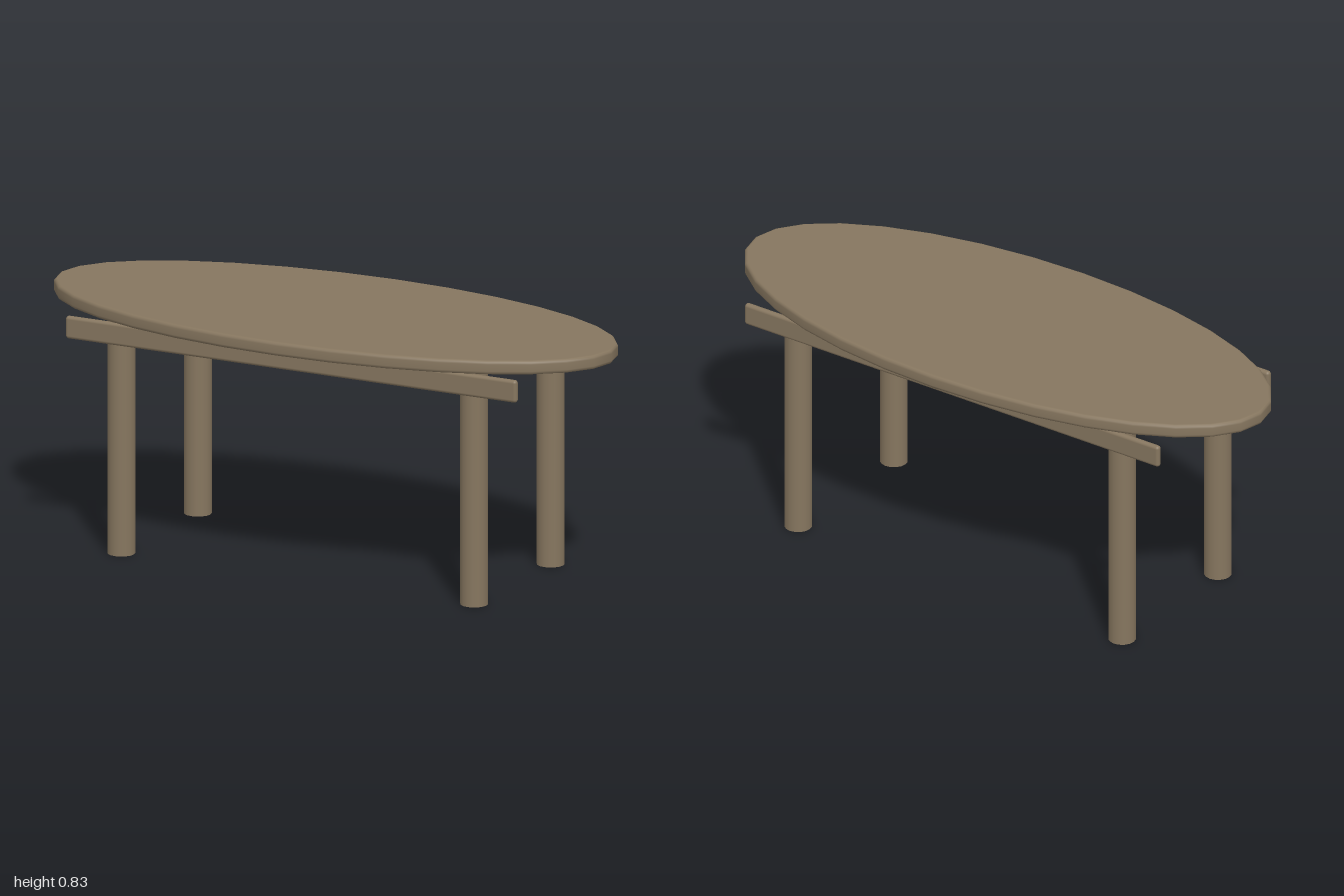
import * as THREE from 'three';
import { mergeVertices } from 'three/addons/utils/BufferGeometryUtils.js';
import { RoundedBoxGeometry } from 'three/addons/geometries/RoundedBoxGeometry.js';

// Oval slab with an even rounded rim, made from a lathe squeezed in z
function ovalTop(halfX, halfZ, y0, y1, bevel) {
  const pts = [new THREE.Vector2(0, y0)];
  const arc = (cy, from) => {
    for (let i = 0; i <= 3; i++) {
      const a = from + (i / 3) * Math.PI / 2;
      pts.push(new THREE.Vector2(halfX - bevel + bevel * Math.cos(a), cy + bevel * Math.sin(a)));
    }
  };
  arc(y0 + bevel, -Math.PI / 2);
  arc(y1 - bevel, 0);
  pts.push(new THREE.Vector2(0, y1));

  const lathe = new THREE.LatheGeometry(pts, 32);
  const pos = lathe.attributes.position;
  for (let i = 0; i < pos.count; i++) {
    const r = Math.hypot(pos.getX(i), pos.getZ(i));
    if (r > 0.5) pos.setZ(i, pos.getZ(i) * (r - halfX + halfZ) / r);
  }
  lathe.deleteAttribute('uv');
  lathe.deleteAttribute('normal');
  const geo = mergeVertices(lathe, 1e-5);
  geo.computeVertexNormals();
  return geo;
}

export function createModel() {
  const group = new THREE.Group();
  const wood = new THREE.MeshStandardMaterial({ color: 0x86765f });
  wood.name = 'brownWood';

  const add = (name, geo, x, y, z) => {
    const mesh = new THREE.Mesh(geo, wood);
    mesh.name = name;
    mesh.position.set(x, y, z);
    group.add(mesh);
  };

  add('tableTop', ovalTop(1, 0.422, 0.781, 0.828, 0.012), 0, 0, 0);

  // Two side rails and four round legs
  const legHeight = 0.783;
  const leg = new THREE.CylinderGeometry(0.045, 0.045, legHeight, 16);
  const rail = new RoundedBoxGeometry(1.636, 0.075, 0.022, 3, 0.0105);
  for (const sz of [1, -1]) {
    const end = sz > 0 ? 'front' : 'back';
    add(end + 'Rail', rail, 0, 0.742, sz * 0.304);
    for (const sx of [1, -1]) {
      add(end + (sx > 0 ? 'Left' : 'Right') + 'Leg', leg, sx * 0.64, legHeight / 2, sz * 0.264);
    }
  }
  return group;
}
